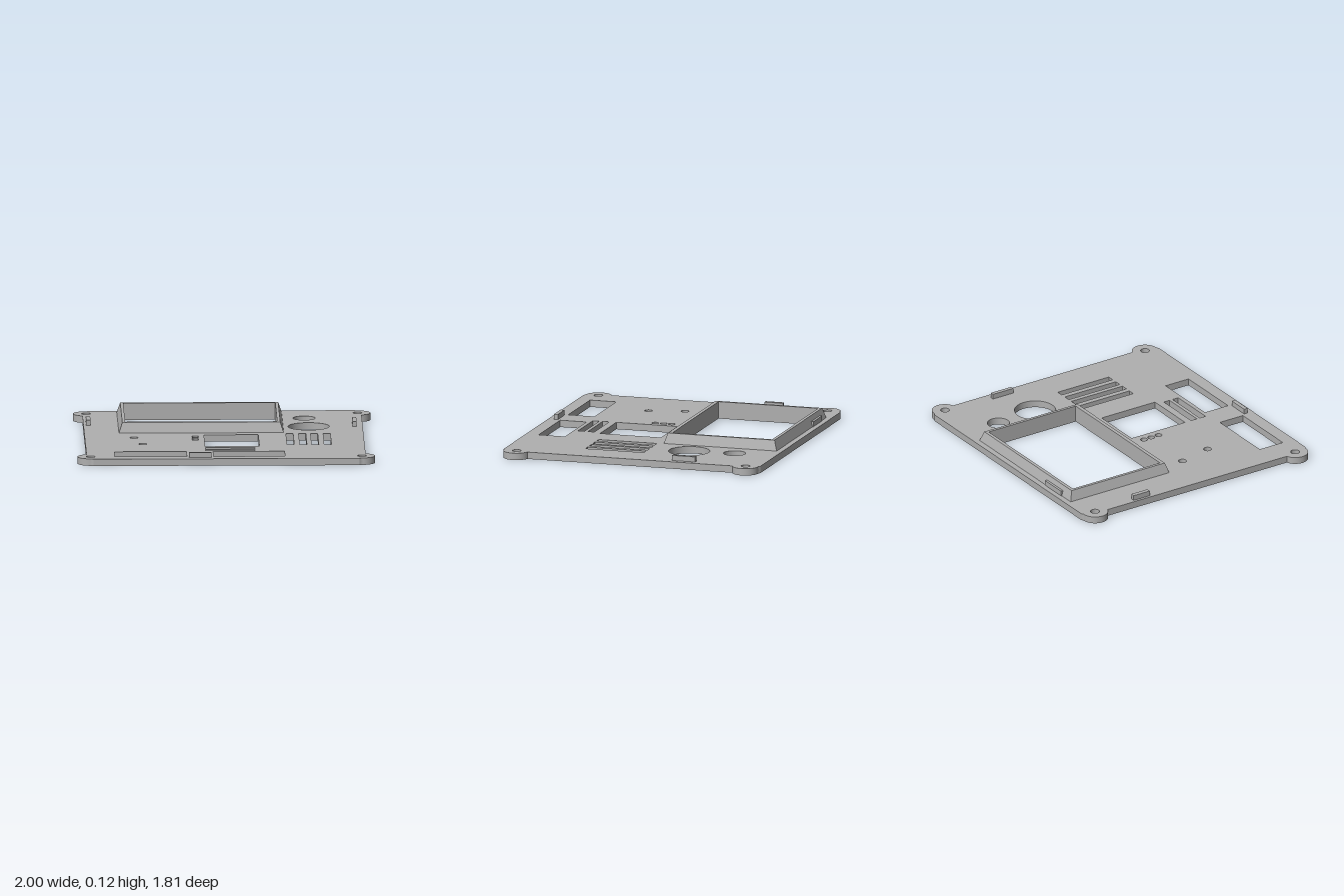
import * as THREE from 'three';
import { toCreasedNormals } from 'three/addons/utils/BufferGeometryUtils.js';

const T = 0.047;        // plate thickness
const RECESS = 0.015;   // depth of the pockets underneath
const EAR = { x: 0.912, z: 0.807, r: 0.088 };

// Shapes are drawn in x, z and extruded downwards
const rect = (x0, x1, z0, z1) => new THREE.Path([
  [x0, z0], [x1, z0], [x1, z1], [x0, z1],
].map(([x, z]) => new THREE.Vector2(x, z)));

const circle = (x, z, r) => new THREE.Path().absarc(x, z, r, 0, Math.PI * 2, false);

// Rectangular board with a round ear on every corner
function outline() {
  const quarter = [[0.938, EAR.z - 0.084]];
  const a0 = Math.atan2(-0.084, 0.026), a1 = 1.62;
  for (let i = 1; i <= 20; i++) {
    const a = a0 + (a1 - a0) * i / 20;
    quarter.push([EAR.x + EAR.r * Math.cos(a), EAR.z + EAR.r * Math.sin(a)]);
  }
  quarter.push([0.893, 0.905]);
  const pts = [];
  for (const [sx, sz] of [[1, 1], [-1, 1], [-1, -1], [1, -1]]) {
    const q = quarter.map(([x, z]) => new THREE.Vector2(x * sx, z * sz));
    pts.push(...(sx * sz > 0 ? q : q.reverse()));
  }
  return new THREE.Shape(pts);
}

function layer(holes, y0, y1) {
  const shape = outline();
  shape.holes.push(...holes);
  const g = new THREE.ExtrudeGeometry(shape, { depth: y1 - y0, bevelEnabled: false, curveSegments: 24 });
  g.rotateX(Math.PI / 2).translate(0, y1, 0);
  return toCreasedNormals(g, 0.6);
}

// Openings that pass right through the board
function openings() {
  const h = [
    rect(-0.662, 0.36, -0.82, -0.118),   // display
    rect(-0.135, 0.23, 0.005, 0.435),    // square window
    rect(-0.75, -0.265, 0.63, 0.815),    // front ports
    rect(-0.085, 0.395, 0.63, 0.815),
    circle(0.55, -0.615, 0.075),
    circle(0.575, -0.303, 0.139),
    circle(-0.608, 0.1, 0.027),
    circle(-0.552, 0.34, 0.027),
  ];
  for (const x of [0.417, 0.502, 0.582, 0.667]) h.push(rect(x, x + 0.048, 0.385, -0.027));
  for (const z of [0.485, 0.555]) h.push(rect(-0.135, 0.198, z, z + 0.046));
  for (const z of [0.063, 0.121, 0.18]) h.push(circle(-0.196, z, 0.023));
  return h;
}

const corners = (r) => [[1, 1], [1, -1], [-1, 1], [-1, -1]]
  .map(([sx, sz]) => circle(sx * EAR.x, sz * EAR.z, r));

// Four-sided frame swept through rectangular rings [x0, x1, z0, z1, y]
function bezelGeometry() {
  const rings = [
    [-0.705, 0.403, -0.865, -0.07, T],
    [-0.682, 0.38, -0.843, -0.092, 0.116],
    [-0.662, 0.36, -0.82, -0.118, 0.116],
    [-0.662, 0.36, -0.82, -0.118, T],
  ].map(([x0, x1, z0, z1, y]) => [[x0, y, z0], [x0, y, z1], [x1, y, z1], [x1, y, z0]]);
  const pos = [];
  for (let r = 0; r < 3; r++) {
    for (let i = 0; i < 4; i++) {
      const j = (i + 1) % 4;
      const a = rings[r][i], b = rings[r][j], c = rings[r + 1][j], d = rings[r + 1][i];
      pos.push(...a, ...b, ...c, ...a, ...c, ...d);
    }
  }
  const g = new THREE.BufferGeometry();
  g.setAttribute('position', new THREE.Float32BufferAttribute(pos, 3));
  g.computeVertexNormals();
  return g;
}

export function createModel() {
  const model = new THREE.Group();
  model.name = 'facePlate';
  const grey = new THREE.MeshStandardMaterial({ color: 0xb0b0b0 });
  grey.name = 'grey plastic';
  const add = (name, geometry) => {
    const m = new THREE.Mesh(geometry, grey);
    m.name = name;
    model.add(m);
    return m;
  };

  // Board: upper layer with plain holes, lower layer with counterbores and pockets
  add('boardTop', layer([...openings(), ...corners(0.03)], RECESS, T));
  const pockets = [
    rect(-0.315, -0.285, 0.04, 0.2),
    rect(-0.535, -0.51, 0.075, 0.14),
    rect(-0.475, -0.45, 0.325, 0.39),
  ];
  add('boardUnderside', layer([...openings(), ...corners(0.055), ...pockets], 0, RECESS));

  add('displayBezel', bezelGeometry());

  // Small clip tabs along the four edges
  const tabs = {
    rightTab: [-0.92, -0.89, -0.5, -0.37],
    leftTab: [0.87, 0.897, -0.447, -0.283],
    frontTab: [-0.25, -0.1, 0.836, 0.864],
    backTab: [-0.595, -0.4, -0.87, -0.85],
  };
  for (const [name, [x0, x1, z0, z1]] of Object.entries(tabs)) {
    const g = new THREE.BoxGeometry(x1 - x0, 0.082 - T, z1 - z0);
    add(name, g).position.set((x0 + x1) / 2, (0.082 + T) / 2, (z0 + z1) / 2);
  }
  return model;
}
